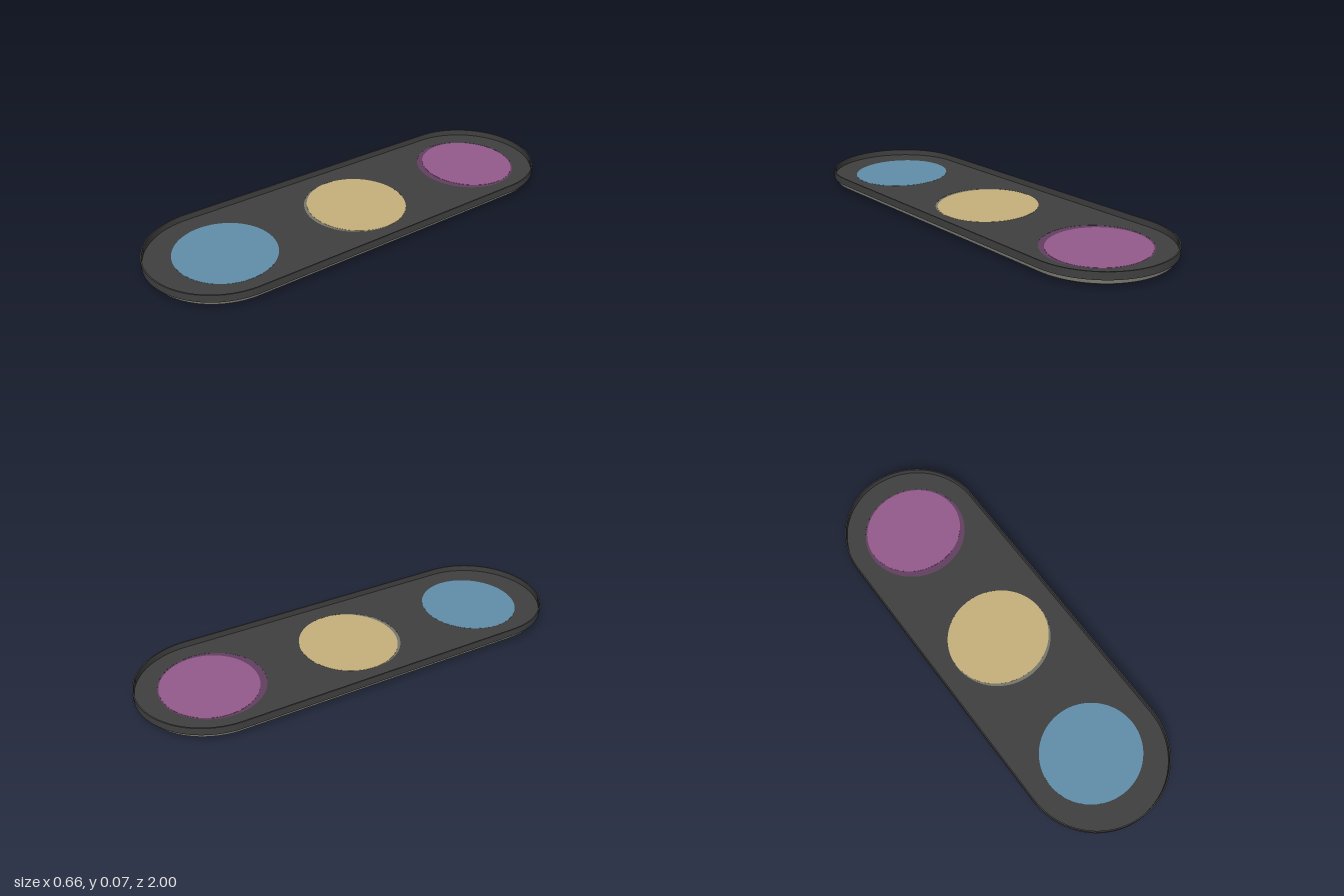
import * as THREE from 'three';
import { toCreasedNormals } from 'three/addons/utils/BufferGeometryUtils.js';

const SPINE = 0.672; // half length of the straight sides

const mat = (name, color, side = THREE.FrontSide) => {
  const m = new THREE.MeshStandardMaterial({ color, side });
  m.name = name;
  return m;
};

// Rounded slot outline; shape y becomes model z
function trace(path, r) {
  path.absarc(0, SPINE, r, 0, Math.PI, false);
  path.absarc(0, -SPINE, r, Math.PI, Math.PI * 2, false);
  path.closePath();
  return path;
}
const slot = (r) => trace(new THREE.Shape(), r);

function ellipse(Type, { z, rx, rz }) {
  const p = new Type();
  p.absellipse(0, z, rx, rz, 0, Math.PI * 2, false, 0);
  return p;
}

// Horizontal slab between two heights
function slab(shape, y0, y1, steps = 1) {
  const geo = new THREE.ExtrudeGeometry(shape, { depth: y1 - y0, steps, bevelEnabled: false, curveSegments: 40 });
  geo.rotateX(Math.PI / 2).translate(0, y1, 0);
  return geo;
}

export function createModel() {
  const group = new THREE.Group();
  const dark = mat('charcoal', 0x404040);
  const grey = mat('warm grey', 0x77776d);
  const add = (name, geo, material) => {
    const mesh = new THREE.Mesh(toCreasedNormals(geo, 0.45), material);
    mesh.name = name;
    group.add(mesh);
  };

  // Lens sizes, and the slightly offset seats around them
  const lenses = [
    { name: 'purpleLens', material: mat('purple', 0x94598c), rim: mat('dark purple', 0x633f60),
      disc: { z: -0.685, rx: 0.225, rz: 0.21 }, seat: { z: -0.672, rx: 0.238, rz: 0.228 } },
    { name: 'yellowLens', material: mat('sand', 0xc6b17b), rim: grey,
      disc: { z: -0.015, rx: 0.234, rz: 0.22 }, seat: { z: -0.008, rx: 0.236, rz: 0.228 } },
    { name: 'blueLens', material: mat('blue', 0x618eaa),
      disc: { z: 0.655, rx: 0.229, rz: 0.22 }, seat: { z: 0.655, rx: 0.229, rz: 0.22 } },
  ];

  // Tray: thin raised rim around a recessed floor
  const rim = slot(0.328);
  rim.holes.push(trace(new THREE.Path(), 0.322));
  add('trayRim', slab(rim, 0.035, 0.068), dark);
  const floor = slot(0.3225);
  lenses.forEach((l) => floor.holes.push(ellipse(THREE.Path, l.seat)));
  add('trayFloor', slab(floor, 0.035, 0.04), dark);

  // Base plate with three openings and a chamfered lower edge
  const base = slot(0.312);
  lenses.forEach((l) => base.holes.push(ellipse(THREE.Path, { z: l.seat.z, rx: 0.24, rz: 0.232 })));
  const baseGeo = slab(base, 0, 0.035, 2);
  const pos = baseGeo.attributes.position;
  for (let i = 0; i < pos.count; i++) {
    const x = pos.getX(i), z = pos.getZ(i);
    const c = THREE.MathUtils.clamp(z, -SPINE, SPINE);
    if (Math.hypot(x, z - c) < 0.3) continue;
    if (pos.getY(i) < 0.001) {
      const k = 0.287 / 0.312;
      pos.setX(i, x * k);
      pos.setZ(i, c + (z - c) * k);
    } else if (pos.getY(i) < 0.03) pos.setY(i, 0.014);
  }
  add('basePlate', baseGeo, grey);

  // Lenses and their seat rings
  for (const l of lenses) {
    add(l.name, slab(ellipse(THREE.Shape, l.disc), 0.036, 0.0405), l.material);
    if (!l.rim) continue;
    const ring = ellipse(THREE.Shape, l.seat);
    ring.holes.push(ellipse(THREE.Path, { z: l.disc.z, rx: l.disc.rx - 0.002, rz: l.disc.rz - 0.002 }));
    add(l.name + 'Seat', slab(ring, 0.037, 0.0395), l.rim);
  }
  return group;
}
